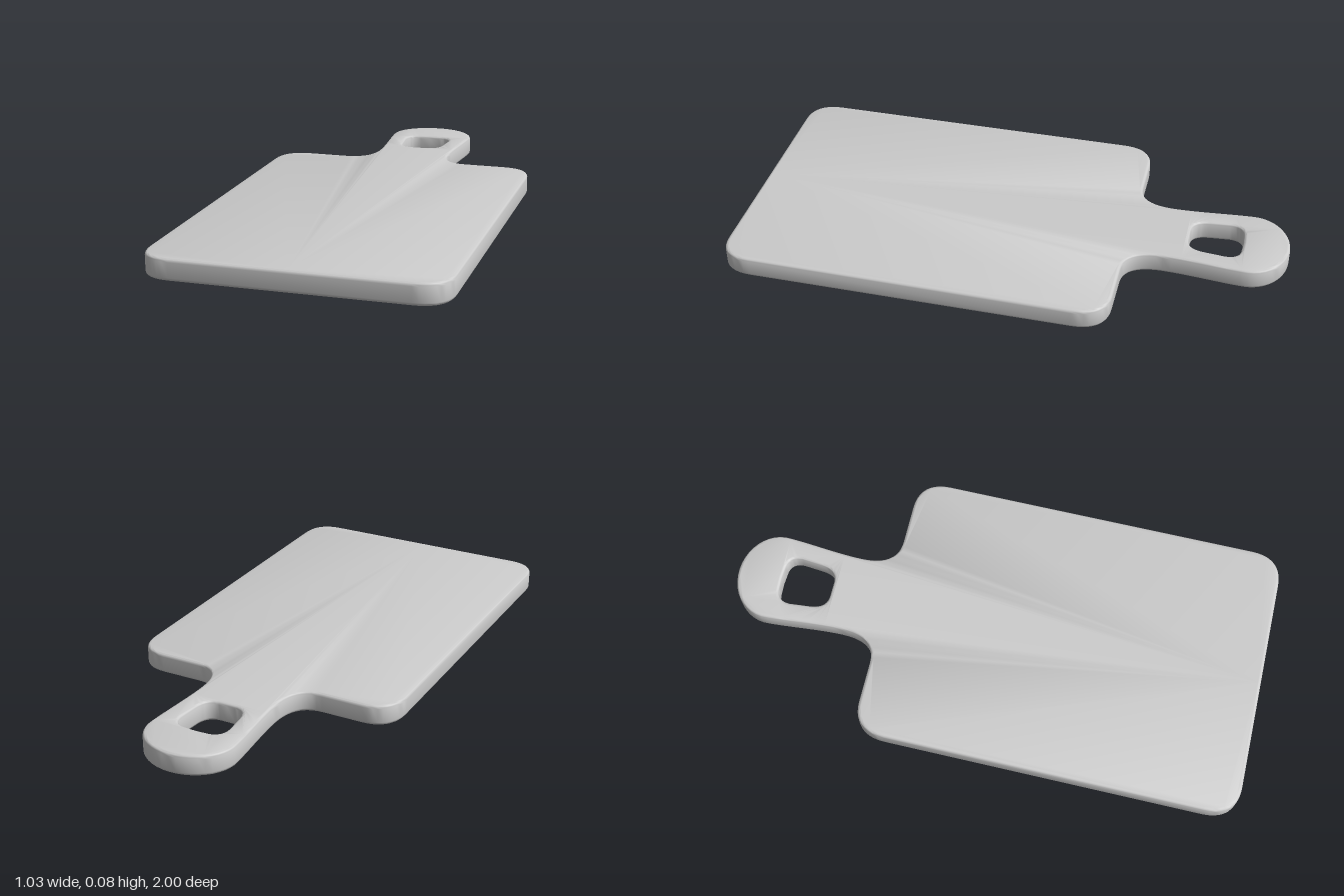
import * as THREE from 'three';
import { toCreasedNormals } from 'three/addons/utils/BufferGeometryUtils.js';

const THICKNESS = 0.076;
const BEVEL = 0.012;

// Closes a right-hand half outline (both ends on x = 0) by mirroring it.
function mirrored(half) {
  const right = half.getPoints(10);
  const left = right.slice(1, -1).reverse().map((p) => new THREE.Vector2(-p.x, p.y));
  return [...right, ...left];
}

export function createModel() {
  const group = new THREE.Group();
  group.name = 'cuttingBoard';

  // Half outline, from the middle of the front edge to the tip of the handle
  const outline = new THREE.Path();
  outline.moveTo(0, -1);
  outline.lineTo(0.4, -1);
  outline.bezierCurveTo(0.475, -1, 0.515, -0.96, 0.515, -0.88);
  outline.lineTo(0.515, 0.3);
  outline.bezierCurveTo(0.515, 0.38, 0.475, 0.422, 0.4, 0.422);
  outline.lineTo(0.25, 0.422);
  outline.bezierCurveTo(0.18, 0.422, 0.147, 0.47, 0.147, 0.56);
  outline.bezierCurveTo(0.147, 0.66, 0.167, 0.79, 0.167, 0.865);
  outline.bezierCurveTo(0.162, 0.94, 0.09, 1, 0, 1);

  // Half outline of the hanging hole
  const hole = new THREE.Path();
  hole.moveTo(0, 0.636);
  hole.lineTo(0.03, 0.636);
  hole.bezierCurveTo(0.065, 0.638, 0.08, 0.66, 0.084, 0.7);
  hole.lineTo(0.091, 0.775);
  hole.bezierCurveTo(0.091, 0.81, 0.075, 0.828, 0.04, 0.829);
  hole.lineTo(0, 0.831);

  const shape = new THREE.Shape(mirrored(outline));
  shape.holes.push(new THREE.Path(mirrored(hole)));

  // Slab with rounded rims, laid flat with the handle to the back
  const geometry = new THREE.ExtrudeGeometry(shape, {
    depth: THICKNESS - 2 * BEVEL,
    bevelThickness: BEVEL,
    bevelSize: BEVEL,
    bevelOffset: -BEVEL,
    bevelSegments: 4,
  });
  geometry.translate(0, 0, BEVEL);
  geometry.rotateX(-Math.PI / 2);

  const board = new THREE.Mesh(
    toCreasedNormals(geometry, 0.7),
    new THREE.MeshStandardMaterial({ color: 0xcccccc })
  );
  board.name = 'boardWithHandle';
  group.add(board);
  return group;
}
